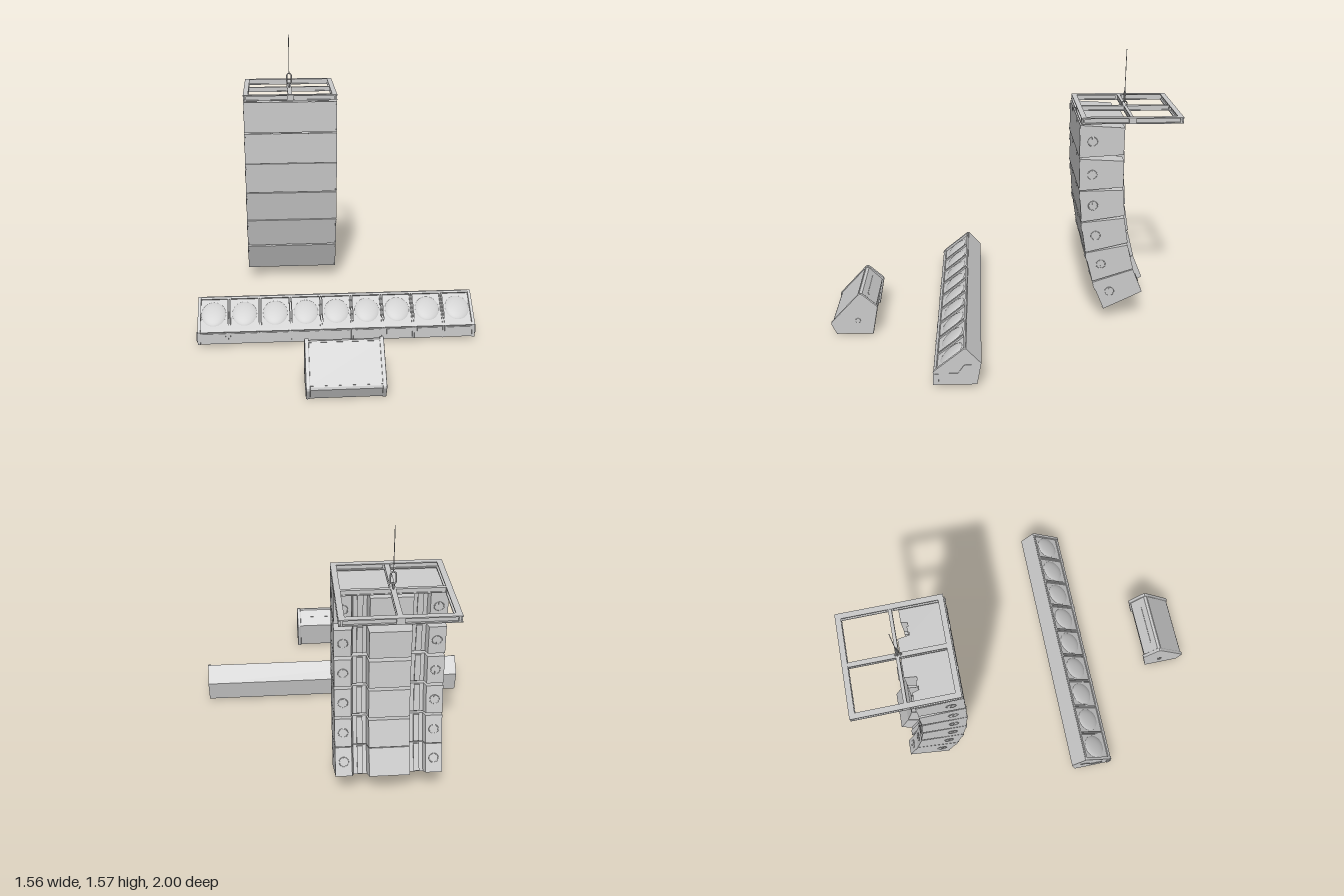
import * as THREE from 'three';

const grey = new THREE.MeshStandardMaterial({ color: 0xcccccc, side: THREE.DoubleSide });

function add(parent, name, geometry, x = 0, y = 0, z = 0) {
  const mesh = new THREE.Mesh(geometry, grey);
  mesh.name = name;
  mesh.position.set(x, y, z);
  parent.add(mesh);
  return mesh;
}
function group(parent, name, x = 0, y = 0, z = 0, tilt = 0) {
  const g = new THREE.Group();
  g.name = name;
  g.position.set(x, y, z);
  g.rotation.x = tilt;
  parent.add(g);
  return g;
}
const box = (w, h, d) => new THREE.BoxGeometry(w, h, d);
const shapeOf = (pts) => new THREE.Shape(pts.map((p) => new THREE.Vector2(...p)));

// Extrudes a [z, y] profile along x, centred on x = 0
function alongX(pts, width, bevel = 0) {
  const g = new THREE.ExtrudeGeometry(shapeOf(pts), {
    depth: width - 2 * bevel, bevelEnabled: bevel > 0,
    bevelThickness: bevel, bevelSize: bevel, bevelOffset: -bevel, bevelSegments: 2,
  });
  g.translate(0, 0, -width / 2 + bevel);
  g.rotateY(-Math.PI / 2);
  return g;
}

// Steel beam with an I section running along x
function beam(length, w = 0.03, h = 0.035) {
  const a = w / 2, b = h / 2, f = b - 0.006, s = 0.005;
  return alongX([[-a, -b], [a, -b], [a, -f], [s, -f], [s, f], [a, f], [a, b],
    [-a, b], [-a, f], [-s, f], [-s, -f], [-a, -f]], length);
}

// Round recessed grip: rim, cup and bar, facing +z
function grip(parent, name, r, x, y, z, turn) {
  const g = group(parent, name, x, y, z);
  g.rotation.y = turn;
  add(g, 'gripRim', new THREE.TorusGeometry(r, 0.0025, 6, 24));
  add(g, 'gripCup', new THREE.CircleGeometry(r, 24), 0, 0, 0.001);
  add(g, 'gripBar', box(0.008, r * 2, 0.004), 0, 0, 0.002);
}

// Wedge shaped cabinet: stepped plan, extruded and thinned toward the back
function cabinetGeometry() {
  const half = [[0.283, 0], [0.283, 0.25], [0.195, 0.25], [0.185, 0.215], [0.115, 0.215], [0.107, 0.28]];
  const plan = [...half, ...half.map(([x, d]) => [-x, d]).reverse()];
  const g = new THREE.ExtrudeGeometry(shapeOf(plan), { depth: 0.188, bevelEnabled: false });
  g.rotateX(-Math.PI / 2);
  g.translate(0, -0.188, 0);
  const p = g.attributes.position;
  for (let i = 0; i < p.count; i++) {
    const k = 1 + (p.getZ(i) / 0.28) * 0.19;
    p.setY(i, -0.094 + (p.getY(i) + 0.094) * k);
  }
  g.computeVertexNormals();
  return g;
}

function hangingArray(root) {
  const array = group(root, 'hangingSpeakerArray', -0.228);
  const body = cabinetGeometry();
  const places = [[1.203, -0.425, 0], [1.007, -0.428, 0.01], [0.815, -0.432, 0.085],
    [0.622, -0.446, 0.17], [0.432, -0.476, 0.255], [0.242, -0.524, 0.395]];
  for (const [y, z, tilt] of places) {
    const cab = group(array, 'speakerCabinet', 0, y, z, tilt);
    add(cab, 'cabinetBody', body);
    for (const s of [-1, 1]) {
      grip(cab, 'sideGrip', 0.026, s * 0.283, -0.094, -0.072, s * Math.PI / 2);
      grip(cab, 'rearGrip', 0.024, s * 0.238, -0.094, -0.25, Math.PI);
      add(cab, 'frontClip', box(0.02, 0.024, 0.008), s * 0.117, -0.01, 0);
      add(cab, 'cornerLatch', box(0.006, 0.036, 0.008), s * 0.28, -0.035, 0);
      add(cab, 'lowerLatch', box(0.01, 0.008, 0.006), s * 0.279, -0.176, 0);
      // Rigging straps in the rear channels
      add(cab, 'riggingStrap', box(0.03, 0.15, 0.012), s * 0.15, -0.094, -0.217);
    }
  }

  // Square rigging frame with a cross of beams
  const frame = group(array, 'riggingFrame', 0, 1.2275, -0.715);
  for (const s of [-1, 1]) {
    add(frame, 'crosswiseBeam', beam(0.57), 0, 0, s * 0.27);
    add(frame, 'lengthwiseBeam', beam(0.57), s * 0.27, 0, 0).rotation.y = Math.PI / 2;
    add(frame, 'crosswiseJoint', box(0.04, 0.035, 0.03), 0, 0, s * 0.27);
    add(frame, 'lengthwiseJoint', box(0.03, 0.035, 0.04), s * 0.27, 0, 0);
  }
  add(frame, 'middleCrossBeam', beam(0.52, 0.018, 0.03));
  add(frame, 'middleLongBeam', beam(0.52, 0.026, 0.03)).rotation.y = Math.PI / 2;

  // Shackle, chain link and cable
  const shackle = add(array, 'shackle', new THREE.TorusGeometry(0.016, 0.004, 8, 24), 0, 1.252, -0.71);
  shackle.rotation.y = Math.PI / 2;
  const link = [];
  for (let i = 0; i < 24; i++) {
    const a = (i / 24) * Math.PI * 2;
    link.push(new THREE.Vector3(Math.cos(a) * 0.014, Math.sin(a) * 0.014 + (i < 12 ? 0.018 : -0.018), 0));
  }
  const path = new THREE.CatmullRomCurve3(link, true);
  add(array, 'chainLink', new THREE.TubeGeometry(path, 48, 0.004, 8, true), 0, 1.296, -0.71);
  add(array, 'cable', new THREE.CylinderGeometry(0.002, 0.002, 0.245, 8), 0, 1.4475, -0.71);
}

function lampTrough(root) {
  const trough = group(root, 'lampTrough');
  // Open-bottomed casing, its slope sunk below the ribs
  add(trough, 'troughCasing', alongX([[0.38, 0.015], [0.38, 0.08], [0.215, 0.213], [0.212, 0.226], [0.133, 0.14],
    [0.155, 0.015], [0.167, 0.015], [0.146, 0.136], [0.21, 0.203], [0.366, 0.075], [0.366, 0.015]], 1.53));
  const end = [[0.385, 0.015], [0.385, 0.088], [0.372, 0.102], [0.223, 0.224], [0.212, 0.226], [0.133, 0.14], [0.155, 0.015]];
  for (const s of [-1, 1]) {
    add(trough, 'endPlate', alongX(end, 0.016), s * 0.765);
    add(trough, 'endLatch', box(0.01, 0.05, 0.02), s * 0.774, 0.055, 0.365);
    add(trough, 'endRail', box(0.006, 0.006, 0.07), s * 0.774, 0.08, 0.29);
    add(trough, 'endRailRise', box(0.006, 0.055, 0.006), s * 0.774, 0.107, 0.235).rotation.x = -0.6;
    add(trough, 'endRailTip', box(0.006, 0.006, 0.03), s * 0.774, 0.13, 0.2);
  }
  // Sloping face: nine domed lamps between ribs
  const slope = group(trough, 'lampFace', 0, 0.155, 0.3, 0.69);
  add(slope, 'upperRail', box(1.53, 0.02, 0.012), 0, -0.01, -0.102);
  add(slope, 'lowerRail', box(1.53, 0.02, 0.018), 0, -0.01, 0.098);
  const dome = new THREE.SphereGeometry(0.072, 32, 8, 0, Math.PI * 2, 0, Math.PI / 2);
  dome.scale(1, 0.25, 1.08);
  for (let i = 0; i < 9; i++) {
    const x = (i - 4) * 0.1715;
    add(slope, 'lampDome', dome, x, -0.014, -0.004);
    const rim = add(slope, 'lampRim', new THREE.TorusGeometry(0.073, 0.003, 6, 32), x, -0.012, -0.004);
    rim.rotation.x = Math.PI / 2;
    rim.scale.y = 1.08;
    add(trough, 'lowerPanel', box(0.135, 0.045, 0.006), x, 0.055, 0.381);
    for (const s of [-1, 1]) {
      add(slope, 'lampRib', box(0.007, 0.02, 0.215), x + s * 0.08, -0.01, 0);
      add(trough, 'lowerRib', box(0.007, 0.07, 0.01), x + s * 0.08, 0.05, 0.38);
    }
  }
}

function floorWedge(root) {
  const wedge = group(root, 'floorWedge');
  // Open-bottomed shell between two thick cheeks
  add(wedge, 'wedgeShell', alongX([[0.968, 0.003], [0.994, 0.062], [0.99, 0.075], [0.832, 0.247], [0.815, 0.245],
    [0.738, 0.168], [0.768, 0.003], [0.785, 0.003], [0.757, 0.163], [0.82, 0.226], [0.972, 0.066], [0.95, 0.003]], 0.37));
  const cheek = [[0.97, 0], [0.999, 0.06], [0.998, 0.073], [0.99, 0.083], [0.834, 0.252], [0.823, 0.256],
    [0.811, 0.251], [0.731, 0.178], [0.727, 0.167], [0.758, 0]];
  for (const s of [-1, 1]) {
    add(wedge, 'cheek', alongX(cheek, 0.022, 0.005), s * 0.189);
    const socket = add(wedge, 'poleSocket', new THREE.TorusGeometry(0.014, 0.003, 6, 24), s * 0.199, 0.086, 0.843);
    socket.rotation.y = Math.PI / 2;
  }
  // Grille on the sloping front
  const face = group(wedge, 'wedgeFace', 0, 0.163, 0.911, 0.822);
  add(face, 'grille', box(0.362, 0.008, 0.215), 0, -0.004, 0.004);
  add(face, 'grilleTrim', box(0.362, 0.008, 0.008), 0, -0.001, -0.11);
  // Carrying slot on the upper back
  const back = group(wedge, 'wedgeBack', 0, 0.215, 0.785, -0.785);
  add(back, 'carryingSlot', box(0.24, 0.006, 0.012));
}

export function createModel() {
  const model = new THREE.Group();
  model.name = 'stageSoundAndLightSet';
  hangingArray(model);
  lampTrough(model);
  floorWedge(model);
  return model;
}
